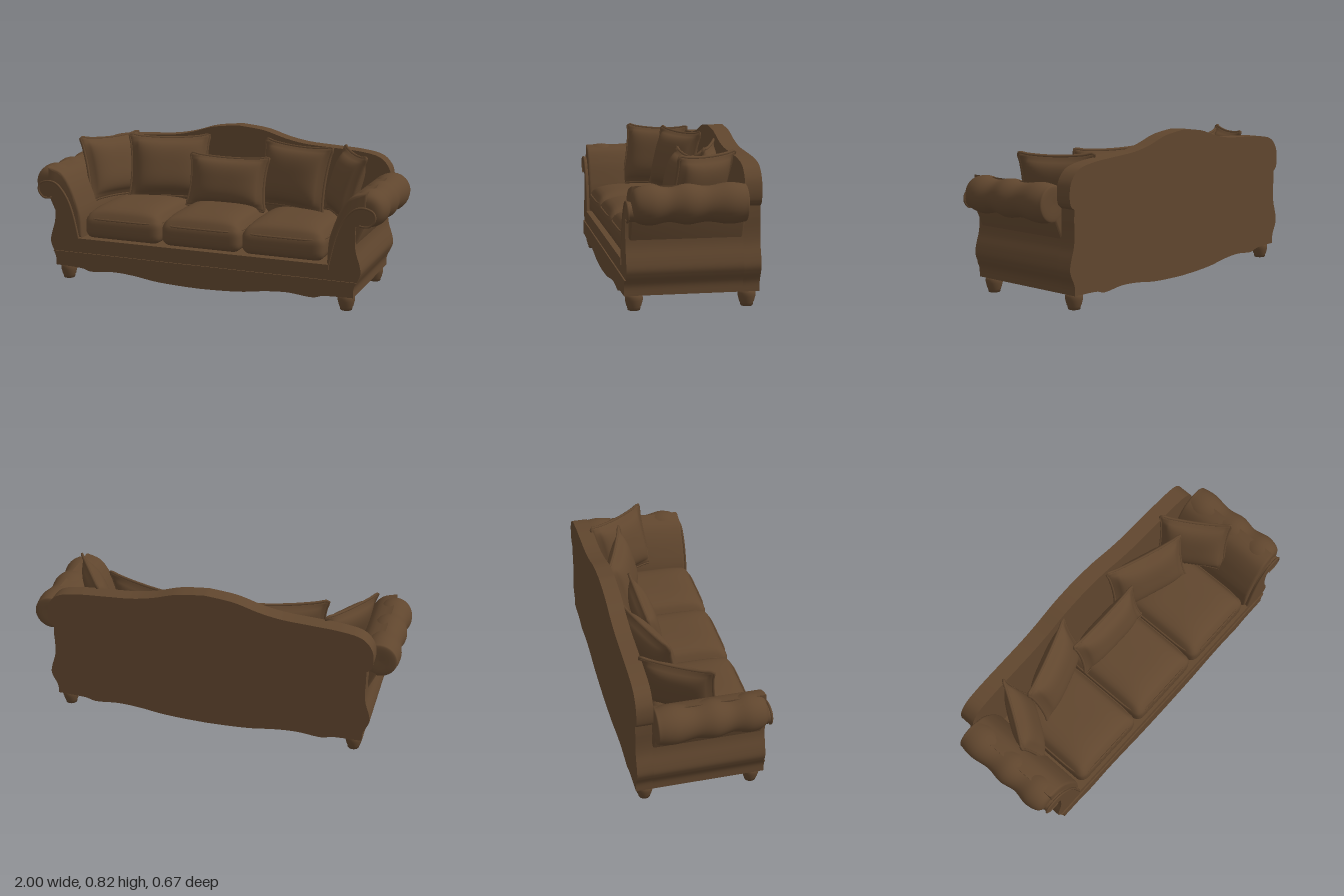
import * as THREE from 'three';
import { mergeVertices, toCreasedNormals } from 'three/addons/utils/BufferGeometryUtils.js';

const leather = new THREE.MeshStandardMaterial({ color: 0x60462e });
leather.name = 'brown leather';

const V2 = (p) => new THREE.Vector2(p[0], p[1]);
const smooth = (pts, n = 24) => new THREE.SplineCurve(pts.map(V2)).getPoints(n);
// Complete a right-hand outline (bottom centre to top centre) with its mirror image
const mirrored = (half) => [
  ...half,
  ...half.filter((p) => p.x > 0.001).reverse().map((p) => new THREE.Vector2(-p.x, p.y)),
];

function add(parent, name, geometry) {
  const mesh = new THREE.Mesh(geometry, leather);
  mesh.name = name;
  parent.add(mesh);
  return mesh;
}

function slab(points, z0, z1, bevel = 0) {
  const g = new THREE.ExtrudeGeometry(new THREE.Shape(points), {
    depth: z1 - z0 - 2 * bevel, bevelEnabled: bevel > 0, bevelSize: bevel,
    bevelThickness: bevel, bevelOffset: -bevel, bevelSegments: 3,
  });
  g.translate(0, 0, z0 + bevel);
  return toCreasedNormals(g, 0.6);
}

function piping(points, radius, closed) {
  const curve = new THREE.CatmullRomCurve3(points, closed);
  return new THREE.TubeGeometry(curve, points.length * 3, radius, 6, closed);
}

// Segmented box whose vertices are moved by a rule, with smooth normals
function shapedBox(size, segments, rule) {
  let g = new THREE.BoxGeometry(...size, ...segments);
  g.deleteAttribute('normal');
  g.deleteAttribute('uv');
  g = mergeVertices(g);
  const p = g.attributes.position, v = new THREE.Vector3();
  for (let i = 0; i < p.count; i++) {
    rule(v.fromBufferAttribute(p, i));
    p.setXYZ(i, v.x, v.y, v.z);
  }
  g.computeVertexNormals();
  return g;
}

// Seat cushion: rounded box with a domed top and piping around its upper edge
function seatCushion(w, h, d) {
  const group = new THREE.Group(), r = 0.045;
  const inner = new THREE.Vector3(w / 2 - r, h / 2 - r, d / 2 - r);
  const core = new THREE.Vector3();
  add(group, 'seatCushionBody', shapedBox([w, h, d], [24, 8, 28], (v) => {
    const u = v.x / (w / 2), t = v.z / (d / 2), top = v.y > 0 ? v.y / (h / 2) : 0;
    core.copy(v).clamp(inner.clone().negate(), inner);
    v.sub(core).setLength(r).add(core);
    v.y += 0.05 * top * (1 - u ** 4) * (1 - t ** 4);
  }));
  const loop = [];
  for (let i = 0; i < 40; i++) {
    const a = (i / 40) * Math.PI * 2, c = Math.cos(a), s = Math.sin(a);
    loop.push(new THREE.Vector3(
      Math.sign(c) * Math.abs(c) ** 0.3 * (w / 2 - 0.004), h / 2 - 0.022,
      Math.sign(s) * Math.abs(s) ** 0.3 * (d / 2 - 0.004)));
  }
  add(group, 'seatCushionPiping', piping(loop, 0.005, true));
  return group;
}

// Throw pillow: plump middle, flat flange and drawn-in edges
function pillow(w, h, thick) {
  const group = new THREE.Group();
  const pinch = (v) => {
    const u = v.x / (w / 2), t = v.y / (h / 2);
    v.x *= 1 - 0.07 * (1 - t * t) * Math.abs(u);
    v.y *= 1 - 0.09 * (1 - u * u) * Math.abs(t);
    return v;
  };
  add(group, 'pillowBody', shapedBox([w, h, 2], [24, 24, 1], (v) => {
    const u = Math.min(1, Math.abs(v.x) / (w * 0.45));
    const t = Math.min(1, Math.abs(v.y) / (h * 0.44));
    v.z *= 0.006 + thick * Math.sqrt((1 - u ** 3) * (1 - t ** 3));
    pinch(v);
  }));
  const loop = [], corners = [[-1, -1], [1, -1], [1, 1], [-1, 1]];
  corners.forEach(([x, y], i) => {
    const [nx, ny] = corners[(i + 1) % 4];
    for (let k = 0; k < 8; k++) {
      const f = k / 8;
      loop.push(pinch(new THREE.Vector3((x + (nx - x) * f) * w / 2, (y + (ny - y) * f) * h / 2, 0)));
    }
  });
  add(group, 'pillowEdge', piping(loop, 0.008, true));
  return group;
}

export function createModel() {
  const sofa = new THREE.Group();
  sofa.name = 'sofa';

  // Shared outlines
  const skirt = smooth([[0, 0.035], [0.12, 0.038], [0.25, 0.046], [0.38, 0.064], [0.5, 0.071],
    [0.63, 0.06], [0.7, 0.075], [0.85, 0.08]], 40);
  const side = smooth([[0.85, 0.085], [0.852, 0.13], [0.875, 0.18], [0.884, 0.215], [0.875, 0.26],
    [0.856, 0.32], [0.85, 0.38], [0.852, 0.45]], 28);
  const scroll = smooth([[0.87, 0.455], [0.92, 0.455], [0.95, 0.49], [0.94, 0.53], [0.89, 0.547],
    [0.835, 0.53], [0.78, 0.46], [0.745, 0.37], [0.715, 0.24]], 32);

  // Frame with scrolled arms, full-height back
  add(sofa, 'frame', slab(mirrored([...skirt, ...side, ...scroll, V2([0, 0.24])]), -0.25, 0.33));
  const crest = smooth([[0.85, 0.505], [0.876, 0.53], [0.882, 0.59], [0.865, 0.65], [0.81, 0.7],
    [0.7, 0.722], [0.55, 0.732], [0.4, 0.742], [0.28, 0.765], [0.15, 0.803], [0, 0.82]], 50);
  add(sofa, 'back', slab(mirrored([...skirt, ...side, ...crest]), -0.335, -0.25));

  // Front apron and rail
  const low = side.filter((p) => p.y < 0.16);
  add(sofa, 'apron', slab(mirrored([...skirt, ...low, V2([0.866, 0.16]), V2([0, 0.16])]), 0.325, 0.337));
  const rail = add(sofa, 'frontRail', new THREE.BoxGeometry(1.43, 0.036, 0.02));
  rail.position.set(0, 0.223, 0.326);

  for (const s of [1, -1]) {
    // Arm: padded inner face, lumpy roll and front piping
    const arm = new THREE.Group();
    arm.name = s > 0 ? 'leftArm' : 'rightArm';
    const pad = smooth([[0.7, 0.24], [0.708, 0.36], [0.735, 0.45], [0.77, 0.53], [0.82, 0.595], [0.9, 0.622]], 20);
    const padOutline = [...pad, V2([0.9, 0.46]), V2([0.8, 0.24])];
    add(arm, 'armPad', slab(padOutline.map((p) => new THREE.Vector2(s * p.x, p.y)), -0.25, 0.315, 0.012));
    const rollProfile = smooth([[0, -0.25], [0.08, -0.25], [0.093, -0.23], [0.1, -0.16], [0.086, -0.055],
      [0.098, 0.04], [0.083, 0.13], [0.097, 0.215], [0.085, 0.28], [0.055, 0.308], [0, 0.31]], 50)
      .map((p) => new THREE.Vector2(Math.max(0, p.x), p.y));
    const roll = add(arm, 'armRoll', new THREE.LatheGeometry(rollProfile, 32));
    roll.rotation.x = Math.PI / 2;
    roll.position.set(s * 0.9, 0.53, 0);
    add(arm, 'armPiping', piping(scroll.map((p) => new THREE.Vector3(s * p.x, p.y, 0.329)), 0.006, false));
    sofa.add(arm);

    // Turned feet
    for (const z of [0.282, -0.282]) {
      const foot = add(sofa, 'foot', new THREE.LatheGeometry([[0, 0], [0.03, 0], [0.034, 0.018],
        [0.037, 0.022], [0.044, 0.05], [0.044, 0.066], [0.04, 0.085], [0, 0.085]].map(V2), 24));
      foot.position.set(s * 0.8, 0, z);
    }
  }

  // Three seat cushions
  for (const i of [-1, 0, 1]) {
    const seat = seatCushion(0.45, 0.135, 0.53);
    seat.name = 'seatCushion';
    seat.position.set(i * 0.457, 0.309, 0.06);
    sofa.add(seat);
  }

  // Five throw pillows: width, height, thickness, position, yaw, lean
  const pillows = [['centrePillow', 0.46, 0.29, 0.055, 0, 0.53, -0.09, 0, -0.25]];
  for (const s of [1, -1]) {
    pillows.push(['innerPillow', 0.45, 0.36, 0.06, s * 0.37, 0.58, -0.135, -s * 0.33, -0.25]);
    pillows.push(['outerPillow', 0.38, 0.36, 0.055, s * 0.68, 0.575, -0.07, -s * 1.0, -0.3]);
  }
  for (const [name, w, h, t, x, y, z, yaw, lean] of pillows) {
    const p = pillow(w, h, t);
    p.name = name;
    p.position.set(x, y, z);
    p.rotation.set(lean, yaw, 0, 'YXZ');
    sofa.add(p);
  }
  return sofa;
}
